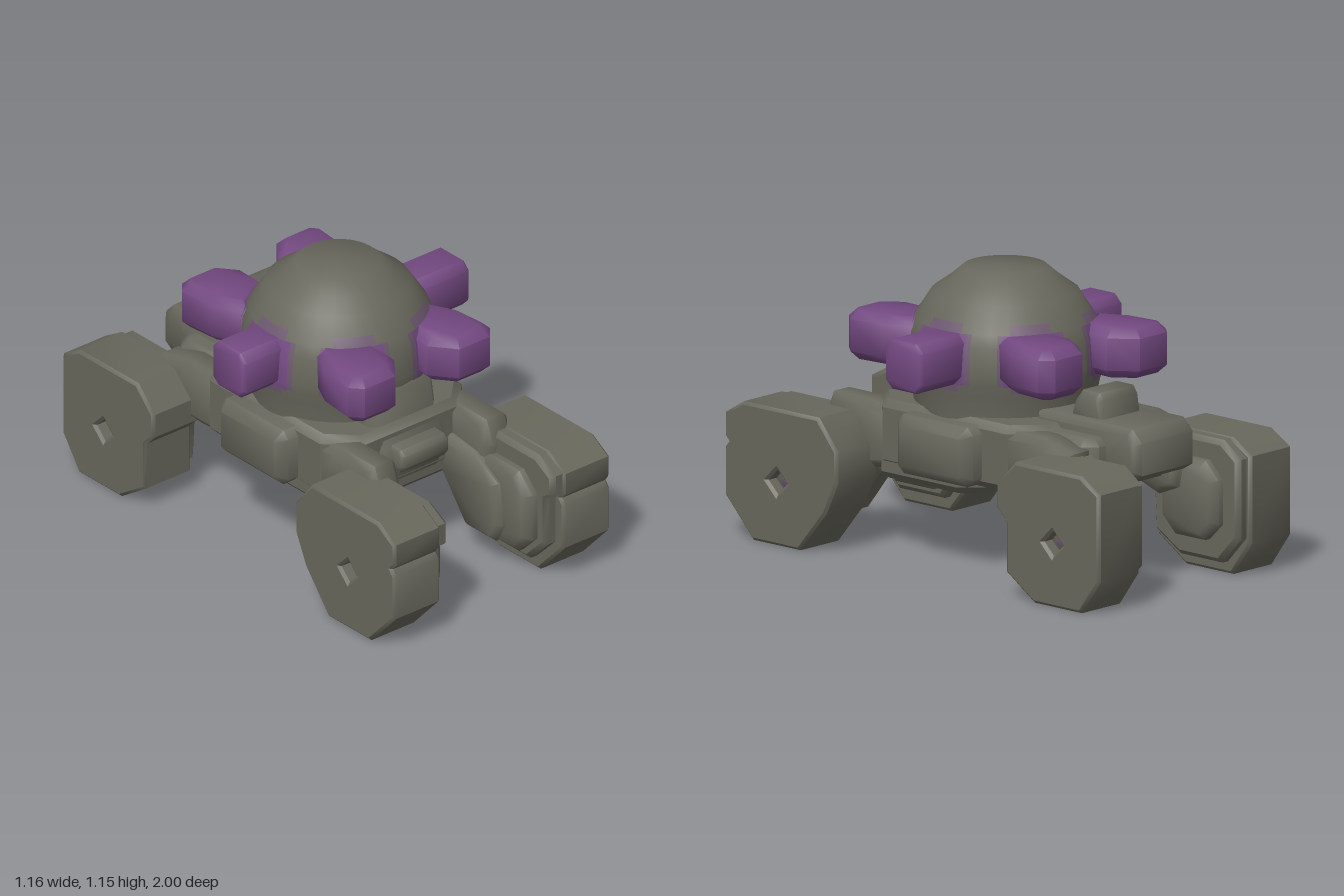
import * as THREE from 'three';
import { toCreasedNormals } from 'three/addons/utils/BufferGeometryUtils.js';

const hull = new THREE.MeshStandardMaterial({ color: 0x68675c });
hull.name = 'olive grey';
const violet = new THREE.MeshStandardMaterial({ color: 0x734981 });
violet.name = 'violet';
const blend = new THREE.MeshStandardMaterial({ color: 0x6c586f });
blend.name = 'dusty violet';

function add(parent, name, geometry, material, crease = 0.9) {
  const mesh = new THREE.Mesh(toCreasedNormals(geometry, crease), material);
  mesh.name = name;
  parent.add(mesh);
  return mesh;
}

// Bevelled prism from an outline, kept inside that outline
function prism(points, depth, bevel, hole) {
  const shape = new THREE.Shape(points.map(([a, b]) => new THREE.Vector2(a, b)));
  if (hole) shape.holes.push(new THREE.Path(hole.map(([a, b]) => new THREE.Vector2(a, b))));
  const geometry = new THREE.ExtrudeGeometry(shape, {
    depth: depth - 2 * bevel, bevelThickness: bevel, bevelSize: bevel, bevelOffset: -bevel, bevelSegments: 1,
  });
  return geometry.translate(0, 0, bevel);
}

// Side profile of [z, y] points, spanning x0 to x1
const slab = (points, x0, x1, bevel = 0.025, hole) =>
  prism(points, x1 - x0, bevel, hole).rotateY(-Math.PI / 2).translate(x1, 0, 0);

// Plan outline of [x, -z] points, spanning y0 to y1
const deck = (points, y0, y1, bevel = 0.04) =>
  prism(points, y1 - y0, bevel).rotateX(-Math.PI / 2).translate(0, y0, 0);

// Octagonal outline around a centre
function octagon(cx, cy, w, h, cut) {
  return [[w, -h + cut], [w, h - cut], [w - cut, h], [-w + cut, h], [-w, h - cut],
    [-w, -h + cut], [-w + cut, -h], [w - cut, -h]].map(([a, b]) => [cx + a, cy + b]);
}

// Diamond outline for the hub recess
const diamond = (z, y, r) => [[z - r, y], [z, y + r], [z + r, y], [z, y - r]];

// Surface of revolution from [radius, y] points, whole or as a sector around an angle
function turned(points, segments, angle = 0, half = Math.PI) {
  return new THREE.LatheGeometry(points.map(([r, y]) => new THREE.Vector2(r, y)), segments, angle - half, 2 * half);
}

export function createModel() {
  const model = new THREE.Group();
  model.name = 'domeRover';
  const body = new THREE.Group();
  body.name = 'body';
  body.position.x = -0.025;
  model.add(body);

  // Hull with a lower keel, and sponsons bulging at the sides
  add(body, 'hull', deck(octagon(0, 0, 0.365, 0.45, 0.12), 0.35, 0.62, 0.03), hull, 0.7);
  add(body, 'keel', deck(octagon(0, -0.14, 0.36, 0.3, 0.1), 0.3, 0.42, 0.03), hull, 0.7);
  add(body, 'sponsons', slab(octagon(0, 0.48, 0.2, 0.12, 0.03), -0.455, 0.455, 0.04), hull);

  // Nose plate and the undercut block behind it
  add(body, 'nosePlate', slab([[0.38, 0.45], [0.52, 0.45], [0.545, 0.48], [0.545, 0.53], [0.52, 0.55], [0.38, 0.55]], -0.12, 0.12, 0.012), hull);
  add(body, 'noseBlock', slab([[0.2, 0.3], [0.41, 0.3], [0.48, 0.45], [0.47, 0.54], [0.42, 0.62], [0.4, 0.74], [0.33, 0.8], [0.2, 0.8]], -0.17, 0.17, 0.03), hull);

  // Tail with a raised vent, joined to the rear arms by a crossmember
  add(body, 'tail', slab([[-0.45, 0.36], [-0.3, 0.36], [-0.3, 0.65], [-0.8, 0.65], [-0.85, 0.6], [-0.85, 0.47], [-0.8, 0.44], [-0.6, 0.43]], -0.17, 0.17), hull);
  add(body, 'tailVent', slab([[-0.62, 0.6], [-0.42, 0.6], [-0.45, 0.7], [-0.49, 0.75], [-0.58, 0.75], [-0.6, 0.72]], -0.115, 0.115, 0.02), hull);
  add(body, 'crossmember', deck(octagon(0, 0.53, 0.26, 0.15, 0.05), 0.38, 0.6, 0.03), hull);

  // Domed turret
  const turret = new THREE.Group();
  turret.name = 'turret';
  turret.position.z = 0.015;
  body.add(turret);
  const middle = [[0.381, 0.75], [0.385, 0.78], [0.375, 0.9], [0.354, 0.95]];
  const profile = [[0.355, 0.56], [0.36, 0.64], [0.373, 0.7], ...middle,
    [0.29, 1.05], [0.22, 1.1], [0.165, 1.148], [0, 1.15]];
  add(turret, 'dome', turned(profile, 32), hull, 0.8);

  // Paint around each barrel root, as thin skins over the dome
  const skin = (points, offset) => points.map(([r, y]) => [r + offset, y]);
  for (let i = 0; i < 6; i++) {
    const angle = Math.PI / 6 + i * Math.PI / 3;
    const tall = [[0.376, 0.72], ...middle, [0.33, 0.985]];
    add(turret, 'paintEdgeTall', turned(skin(tall, 0.003), 8, angle, 0.24), blend);
    add(turret, 'paintEdgeWide', turned(skin(middle, 0.005), 8, angle, 0.38), blend);
    add(turret, 'paint', turned(skin(middle, 0.008), 8, angle, 0.32), violet);
  }

  // Six stub barrels: one at each side, four at the corners
  const corner = [[0.365, 0.5], [0.32, 0.55], [0.165, 0.55], [0.085, 0.45], [0.09, 0.3], [0.28, 0.2], [0.35, 0.34]];
  for (const sx of [1, -1]) {
    const tip = sx > 0 ? 0.605 : 0.555;
    const [x0, x1] = sx > 0 ? [0.3, tip] : [-tip, -0.3];
    add(body, 'sideBarrel', slab(octagon(0, 0.85, 0.1, 0.1, 0.035), x0, x1, 0.012), violet);
    for (const sz of [1, -1]) {
      add(body, 'cornerBarrel', deck(corner.map(([x, z]) => [sx * x, sz * z]), 0.75, 0.95, 0.035), violet);
    }
  }

  // Wheels and their arms, built on the left and mirrored to the right
  const axles = [
    { name: 'front', z: 0.72,
      tyre: [[0.6, 0], [0.85, 0], [1, 0.16], [1, 0.35], [0.98, 0.375], [1, 0.4], [1, 0.49], [0.9, 0.55],
        [0.5, 0.55], [0.4, 0.43], [0.4, 0.3], [0.46, 0.17]],
      rim: [[0.6, 0.06], [0.84, 0.06], [0.95, 0.17], [0.95, 0.37], [0.99, 0.4], [0.99, 0.49], [0.89, 0.545],
        [0.51, 0.545], [0.41, 0.43], [0.42, 0.3]],
      hub: octagon(0.72, 0.28, 0.18, 0.18, 0.08),
      strut: [[0.3, 0.34], [0.42, 0.3], [0.56, 0.12], [0.73, 0.12], [0.77, 0.2], [0.74, 0.38], [0.6, 0.46], [0.3, 0.5]],
      arm: [[0.25, 0.36], [0.45, 0.32], [0.62, 0.3], [0.66, 0.5], [0.62, 0.6], [0.42, 0.6], [0.25, 0.58]] },
    { name: 'rear', z: -0.75,
      tyre: [[-0.9, 0], [-0.65, 0], [-0.5, 0.1], [-0.5, 0.3], [-0.45, 0.35], [-0.45, 0.45], [-0.55, 0.55],
        [-0.9, 0.55], [-1, 0.49], [-1, 0.14]],
      rim: [[-0.88, 0.05], [-0.66, 0.05], [-0.53, 0.13], [-0.52, 0.3], [-0.46, 0.36], [-0.46, 0.45],
        [-0.56, 0.545], [-0.89, 0.545], [-0.98, 0.48], [-0.98, 0.16]],
      hub: octagon(-0.75, 0.3, 0.15, 0.16, 0.07),
      strut: [[-0.72, 0.34], [-0.62, 0.3], [-0.4, 0.38], [-0.4, 0.56], [-0.66, 0.54], [-0.74, 0.44]],
      arm: [[-0.66, 0.36], [-0.42, 0.35], [-0.25, 0.36], [-0.25, 0.6], [-0.5, 0.6], [-0.66, 0.56]] },
  ];
  for (const side of [1, -1]) {
    const place = (x0, x1) => (side > 0 ? [x0, x1] : [-x1, -x0]);
    for (const axle of axles) {
      const wheel = new THREE.Group();
      wheel.name = axle.name + (side > 0 ? 'LeftWheel' : 'RightWheel');
      body.add(wheel);
      add(wheel, 'tyre', slab(axle.tyre, ...place(0.315, 0.555), 0.012, diamond(axle.z, 0.255, 0.05)), hull, 0.75);
      add(wheel, 'innerRim', slab(axle.rim, ...place(0.265, 0.4), 0.02), hull, 0.75);
      add(wheel, 'innerHub', slab(axle.hub, ...place(0.21, 0.33), 0.03), hull);
      add(wheel, 'strut', slab(axle.strut, ...place(0.175, 0.3), 0.025), hull);
      add(wheel, 'hubCore', slab(diamond(axle.z, 0.255, 0.07).reverse(), ...place(0.4, 0.5), 0.005), hull);
      add(wheel, 'hubDot', slab(diamond(axle.z, 0.25, 0.028).reverse(), ...place(0.498, 0.504), 0.001), blend);
      add(wheel, 'arm', slab(axle.arm, ...place(0.215, 0.36), 0.03), hull);
    }
  }
  return model;
}
